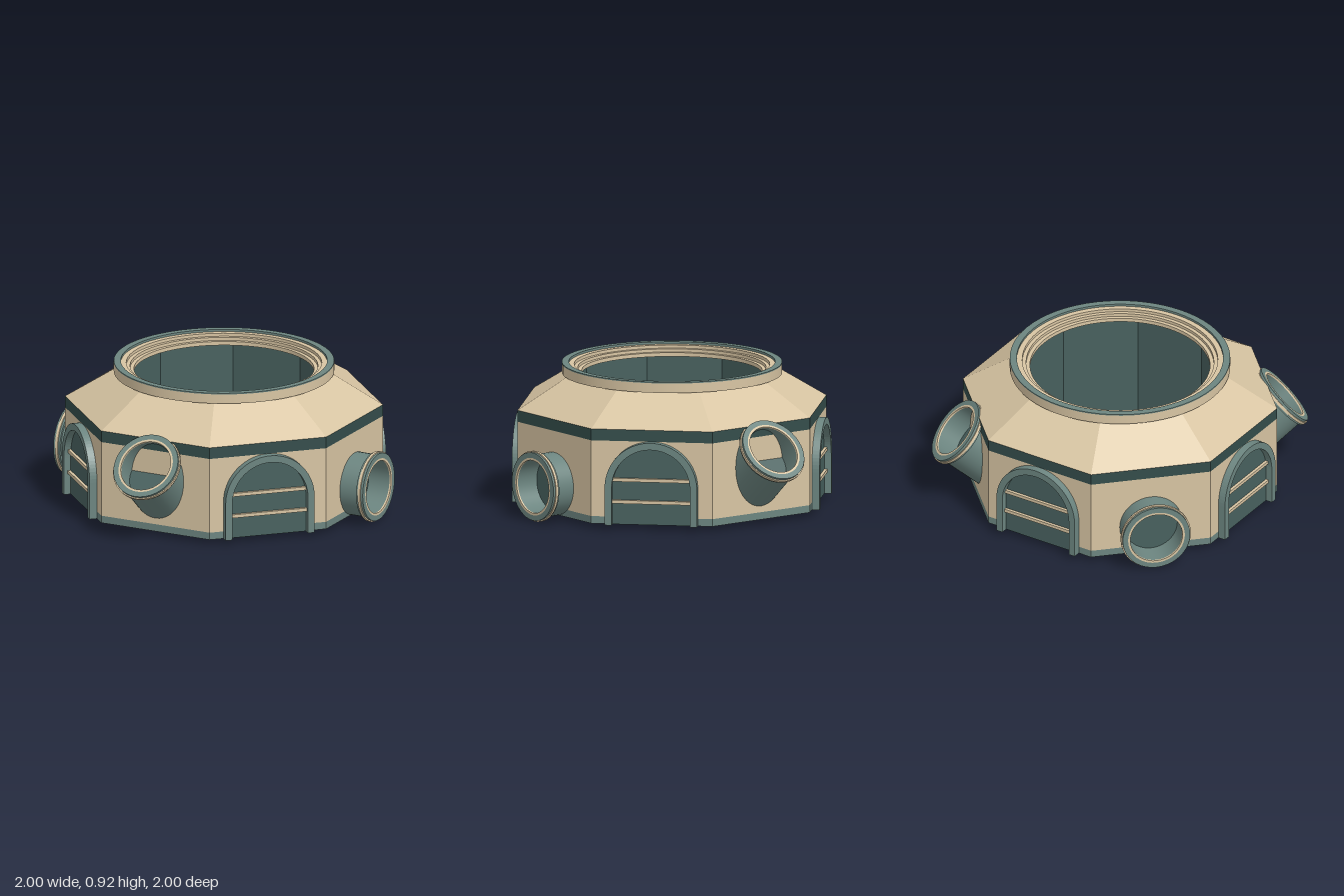
import * as THREE from 'three';
import { mergeGeometries } from 'three/addons/utils/BufferGeometryUtils.js';

const material = (name, color) => {
  const m = new THREE.MeshStandardMaterial({ color });
  m.name = name;
  return m;
};

// Turned profile with a sharp edge at every point; segs = 8 gives a faceted octagon
function turned(points, segs) {
  const flat = segs === 8;
  const k = flat ? 1 / Math.cos(Math.PI / 8) : 1; // octagon sizes are given to the flats
  const parts = [];
  for (let i = 0; i < points.length - 1; i++) {
    const pair = [points[i], points[i + 1]].map(([r, y]) => new THREE.Vector2(r * k, y));
    parts.push(new THREE.LatheGeometry(pair, segs, flat ? Math.PI / 8 : 0));
  }
  const merged = mergeGeometries(parts);
  if (!flat) return merged;
  const faceted = merged.toNonIndexed();
  faceted.computeVertexNormals();
  return faceted;
}

function add(parent, name, geometry, mat) {
  const mesh = new THREE.Mesh(geometry, mat);
  mesh.name = name;
  parent.add(mesh);
  return mesh;
}

export function createModel() {
  const tan = material('tan', 0xd8c5a3);
  const teal = material('teal', 0x6c8580);
  const slate = material('slate teal', 0x48615f);
  const dark = material('dark teal', 0x344d4b);

  const model = new THREE.Group();
  model.name = 'octagonalHub';

  // Octagonal body
  const A = 0.95, IN = 0.59, BASE = 0.03;
  add(model, 'floor', turned([[IN, BASE], [A, BASE]], 8), dark);
  add(model, 'skirting', turned([[A, BASE], [A, 0.078]], 8), teal);
  add(model, 'outerWall', turned([[A, 0.078], [A, 0.575]], 8), tan);
  add(model, 'upperBand', turned([[A, 0.575], [A, 0.65]], 8), dark);
  add(model, 'roof', turned([[A, 0.65], [0.64, 0.855]], 8), tan);
  add(model, 'innerWall', turned([[IN, 0.86], [IN, BASE]], 8), slate);

  // Round collar with a stepped inner edge
  add(model, 'collarSide', turned([[0.6, 0.85], [0.71, 0.85], [0.71, 0.912]], 64), tan);
  add(model, 'collarCap', turned([[0.71, 0.912], [0.71, 0.92], [0.665, 0.92], [0.665, 0.905]], 64), teal);
  add(model, 'collarSteps', turned([
    [0.665, 0.905], [0.63, 0.905], [0.63, 0.885], [0.605, 0.885],
    [0.605, 0.865], [0.58, 0.865], [0.58, 0.84], [0.66, 0.84]], 64), tan);

  // Arched doors on the four main sides
  const SPRING = 0.275;
  const arch = (path, r) => {
    path.moveTo(r, BASE);
    path.lineTo(r, SPRING);
    path.absarc(0, SPRING, r, 0, Math.PI, false);
    path.lineTo(-r, BASE);
    return path;
  };
  const frameShape = arch(new THREE.Shape(), 0.3);
  frameShape.lineTo(-0.255, BASE);
  frameShape.lineTo(-0.255, SPRING);
  frameShape.absarc(0, SPRING, 0.255, Math.PI, 0, true);
  frameShape.lineTo(0.255, BASE);
  const frame = new THREE.ExtrudeGeometry(frameShape, { depth: 0.06, bevelEnabled: false, curveSegments: 20 });
  const panel = new THREE.ExtrudeGeometry(arch(new THREE.Shape(), 0.258),
    { depth: 0.008, bevelEnabled: false, curveSegments: 20 });
  const bar = new THREE.BoxGeometry(0.51, 0.022, 0.025);
  for (let i = 0; i < 4; i++) {
    const door = new THREE.Group();
    door.name = 'archedDoor';
    add(door, 'doorFrame', frame, teal).position.z = 0.94;
    add(door, 'doorPanel', panel, slate).position.z = 0.947;
    for (const y of [0.18, 0.324]) add(door, 'doorBar', bar, tan).position.set(0, y, 0.962);
    door.rotation.y = i * Math.PI / 2;
    model.add(door);
  }

  // Ports on the diagonal sides: origin at the rim centre, axis along +y
  const portTeal = (length) => mergeGeometries([
    turned([[0.205, -length], [0.205, -0.048], [0.222, -0.048], [0.222, 0], [0.187, 0]], 40),
    turned([[0.172, -0.012], [0.172, -0.165]], 40),
  ]);
  const portRing = turned([[0.215, -0.034], [0.23, -0.034], [0.23, -0.016], [0.215, -0.016]], 40);
  const portLip = turned([[0.187, 0], [0.172, 0], [0.172, -0.012]], 40);
  const portBack = turned([[0.172, -0.163], [0, -0.163]], 40);
  for (let i = 0; i < 4; i++) {
    const raised = i % 2 === 1;
    const turn = Math.PI / 4 + i * Math.PI / 2;
    const tilt = raised ? 0.72 : 0;
    const reach = raised ? 1.085 : 1.125;
    const port = new THREE.Group();
    port.name = raised ? 'raisedPort' : 'levelPort';
    add(port, 'portTube', portTeal(raised ? 0.42 : 0.25), teal);
    add(port, 'portRing', portRing, tan);
    add(port, 'portLip', portLip, tan);
    add(port, 'portBack', portBack, slate);
    port.position.set(Math.sin(turn) * reach, raised ? 0.51 : 0.23, Math.cos(turn) * reach);
    port.quaternion.setFromUnitVectors(new THREE.Vector3(0, 1, 0), new THREE.Vector3(
      Math.sin(turn) * Math.cos(tilt), Math.sin(tilt), Math.cos(turn) * Math.cos(tilt)));
    model.add(port);
  }
  return model;
}
